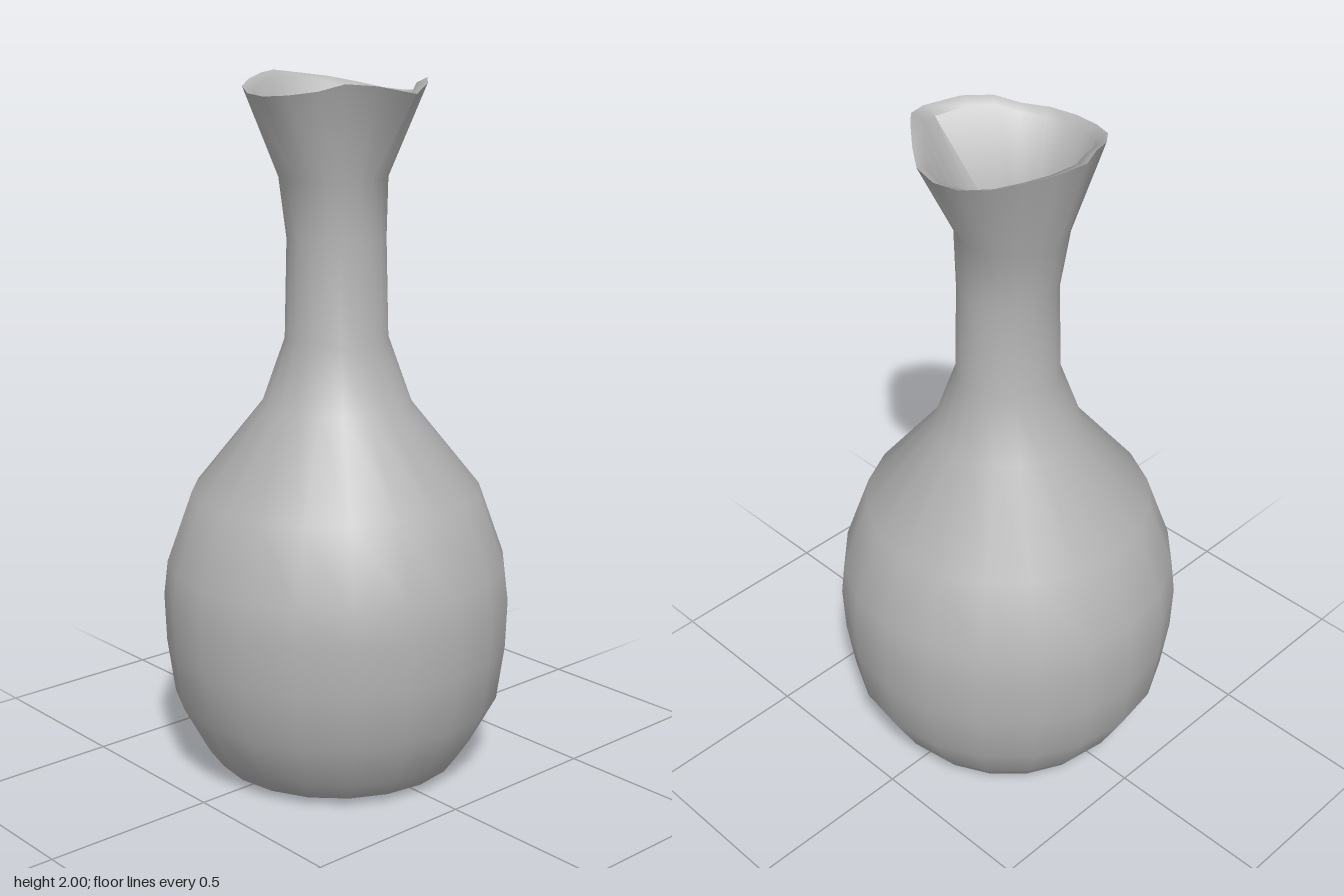
import * as THREE from 'three';
import { mergeVertices, toCreasedNormals } from 'three/addons/utils/BufferGeometryUtils.js';

const SEGMENTS = 20;

// Pinched lip: radius and height every 18 degrees, from the front (+z) towards +x
const lipRadius = [0.315, 0.28, 0.25, 0.243, 0.255, 0.26, 0.262, 0.262, 0.257, 0.26,
  0.27, 0.245, 0.25, 0.258, 0.26, 0.26, 0.25, 0.23, 0.237, 0.27];
const lipHeight = [1.955, 1.98, 1.99, 1.965, 1.95, 1.945, 1.95, 1.965, 1.98, 1.99,
  2.0, 1.995, 1.98, 1.965, 1.95, 1.945, 1.95, 1.96, 1.98, 1.975];

// Turns [radius, y, flare] rings; flare blends each ring towards the lip outline
function turned(rings) {
  const geometry = new THREE.LatheGeometry(rings.map(([r, y]) => new THREE.Vector2(r, y)), SEGMENTS);
  const position = geometry.attributes.position;
  for (let s = 0; s <= SEGMENTS; s++) {
    const i = s % SEGMENTS;
    const angle = (i / SEGMENTS) * Math.PI * 2;
    const back = Math.max(0, -Math.cos(angle));
    rings.forEach(([r, y, flare = 0, backFlare = 0], j) => {
      const radius = THREE.MathUtils.lerp(r, lipRadius[i], flare + backFlare * back);
      const height = flare > 0.7 ? y + lipHeight[i] - 1.95 : y;
      position.setXYZ(s * rings.length + j, radius * Math.sin(angle), height, radius * Math.cos(angle));
    });
  }
  geometry.deleteAttribute('uv');
  geometry.deleteAttribute('normal');
  return toCreasedNormals(mergeVertices(geometry, 1e-4), 1.0);
}

export function createModel() {
  const vase = new THREE.Group();
  vase.name = 'vase';
  const clay = new THREE.MeshStandardMaterial({ color: 0xb4b4b4 });
  clay.name = 'grey clay';

  // Foot, belly, neck and flared lip, bottom to top
  const outer = new THREE.Mesh(turned([
    [0, 0], [0.3, 0], [0.36, 0.025], [0.4, 0.08], [0.475, 0.22], [0.497, 0.38],
    [0.502, 0.52], [0.49, 0.62], [0.415, 0.83], [0.215, 1.08], [0.147, 1.27],
    [0.14, 1.55], [0.142, 1.72, 0.02, 0.25], [0.2, 1.95, 1],
  ]), clay);
  outer.name = 'outerWall';

  // Funnel, narrow throat and hollow belly, top to bottom
  const inner = new THREE.Mesh(turned([
    [0.2, 1.95, 1], [0.13, 1.935, 0.75], [0.115, 1.72, 0.02, 0.25], [0.112, 1.55], [0.115, 1.27],
    [0.18, 1.08], [0.375, 0.83], [0.455, 0.6], [0.46, 0.45], [0.435, 0.22],
    [0.34, 0.06], [0, 0.05],
  ]), clay);
  inner.name = 'innerWall';

  vase.add(outer, inner);
  return vase;
}
